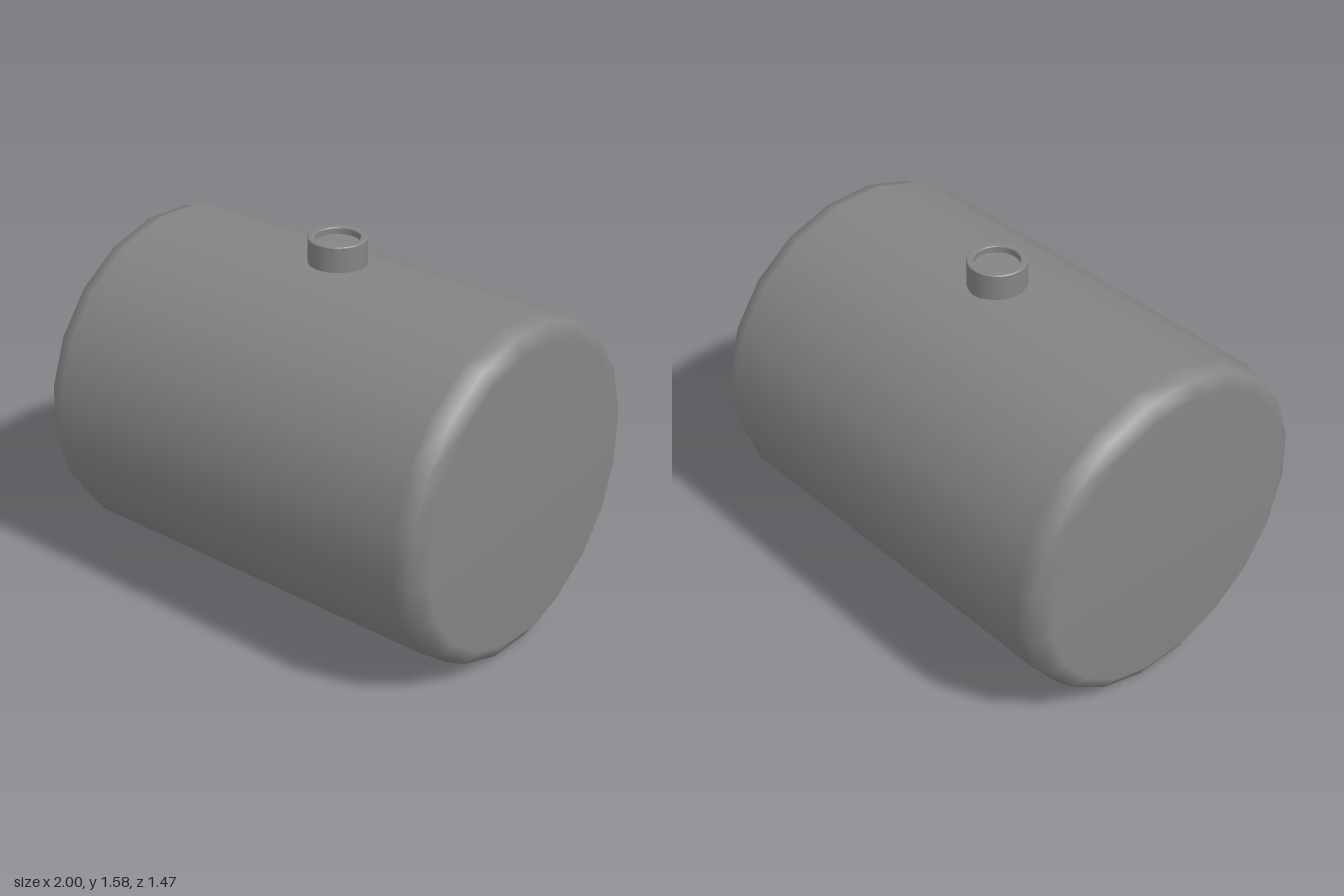
import * as THREE from 'three';

const material = new THREE.MeshStandardMaterial({ color: 0x848484 });

// Revolve [radius, height] pairs; a repeated point makes a sharp edge.
function lathe(name, profile, segments, phiStart = 0) {
  const points = profile.map(([r, h]) => new THREE.Vector2(r, h));
  const mesh = new THREE.Mesh(new THREE.LatheGeometry(points, segments, phiStart), material);
  mesh.name = name;
  return mesh;
}

export function createModel() {
  const model = new THREE.Group();
  model.name = 'tank';

  // Horizontal twenty-sided drum with softly bevelled ends
  const end = [[0, 1], [0.658, 1], [0.72, 0.965], [0.743, 0.89]];
  const profile = [...end.map(([r, h]) => [r, -h]), ...[...end].reverse()];
  const drum = lathe('drum', profile, 20, THREE.MathUtils.degToRad(7.4));
  drum.geometry.rotateZ(-Math.PI / 2);
  drum.position.y = 0.738;
  model.add(drum);

  // Filler neck with a shallow recess in its top
  const neck = lathe('fillerNeck', [
    [0, 1.45], [0.124, 1.45], [0.124, 1.45],
    [0.124, 1.58], [0.124, 1.58], [0.12, 1.584], [0.12, 1.584],
    [0.097, 1.584], [0.097, 1.584], [0.094, 1.58], [0.094, 1.58],
    [0.094, 1.555], [0.094, 1.555], [0, 1.555],
  ], 32);
  neck.position.z = -0.025;
  model.add(neck);

  return model;
}
